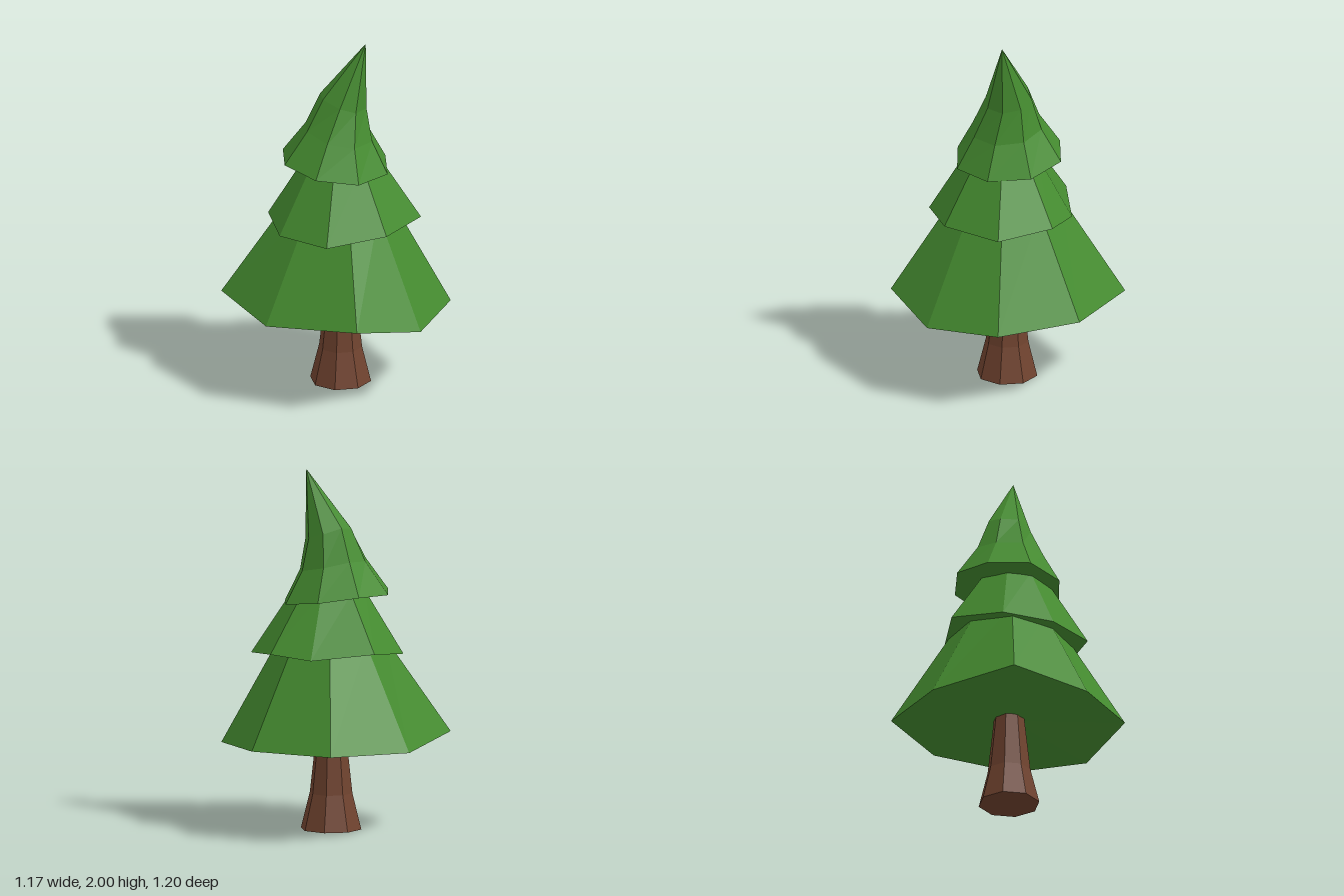
import * as THREE from 'three';

// Skin a stack of rings (each an array of [x, y, z]) and close the underside.
function skinRings(rings, baseY) {
  const pos = [];
  const n = rings[0].length;
  const centre = [0, baseY, 0];
  for (const p of rings[0]) {
    centre[0] += p[0] / n;
    centre[2] += p[2] / n;
  }
  for (let i = 0; i < n; i++) {
    const j = (i + 1) % n;
    pos.push(...centre, ...rings[0][i], ...rings[0][j]);
    for (let k = 0; k < rings.length - 1; k++) {
      const a = rings[k][i], b = rings[k][j];
      const c = rings[k + 1][i], d = rings[k + 1][j];
      pos.push(...a, ...c, ...b);
      if (c !== d) pos.push(...b, ...c, ...d);
    }
  }
  const geometry = new THREE.BufferGeometry();
  geometry.setAttribute('position', new THREE.Float32BufferAttribute(pos, 3));
  geometry.computeVertexNormals();
  return geometry;
}

function part(name, geometry, color) {
  const material = new THREE.MeshStandardMaterial({ color, flatShading: true });
  const mesh = new THREE.Mesh(geometry, material);
  mesh.name = name;
  return mesh;
}

// Shrink a ring towards the axis, raising it to a level with a little tilt.
const shrink = (ring, s, y, dx = 0) => ring.map((p) => [p[0] * s + dx, y, p[2] * s]);

export function createModel() {
  const tree = new THREE.Group();
  tree.name = 'pineTree';
  const green = 0x458c30, brown = 0x70432f;

  // Trunk: eight sides, flared at the foot
  const trunkRings = [[0, 0.17], [0.2, 0.12], [0.56, 0.08]].map(([y, r]) =>
    Array.from({ length: 8 }, (_, i) => {
      const a = (37 + 45 * i) * Math.PI / 180;
      return [0.021 + r * Math.cos(a), y, -0.01 + r * Math.sin(a)];
    }));
  tree.add(part('trunk', skinRings(trunkRings, 0), brown));

  // Lower branches: wide, uneven skirt
  const lower = [
    [0.29, 0.5, -0.6], [0.585, 0.495, -0.2], [0.555, 0.475, 0.275], [0.23, 0.45, 0.56],
    [-0.18, 0.53, 0.6], [-0.54, 0.49, 0.2], [-0.585, 0.54, -0.265], [-0.195, 0.49, -0.575],
  ];
  tree.add(part('lowerBranches', skinRings([lower, shrink(lower, 0.46, 1.06, 0.015)], 0.51), green));

  // Middle branches
  const middle = [
    [-0.065, 1.02, -0.4], [0.27, 0.99, -0.29], [0.43, 1.01, -0.105], [0.405, 0.975, 0.21],
    [0.1, 0.98, 0.4], [-0.24, 0.95, 0.345], [-0.39, 0.95, 0.065], [-0.325, 0.98, -0.21],
  ];
  tree.add(part('middleBranches', skinRings([middle, shrink(middle, 0.47, 1.33, 0.01)], 1.0), green));

  // Top branches: two bends, drawn out to a leaning tip
  const top = [
    [0, 1.33, -0.335], [0.21, 1.3, -0.25], [0.305, 1.27, -0.03], [0.21, 1.255, 0.19],
    [-0.01, 1.26, 0.277], [-0.225, 1.29, 0.18], [-0.31, 1.32, -0.035], [-0.215, 1.32, -0.25],
  ];
  const bendXZ = [
    [[0, -0.21], [0.137, -0.165], [0.205, -0.03], [0.15, 0.12],
      [0.01, 0.185], [-0.13, 0.13], [-0.18, -0.02], [-0.12, -0.155]],
    [[0.015, -0.135], [0.117, -0.115], [0.165, -0.03], [0.14, 0.07],
      [0.05, 0.12], [-0.035, 0.095], [-0.09, -0.005], [-0.06, -0.1]],
  ];
  const bends = bendXZ.map((ring, k) =>
    ring.map(([x, z], i) => [x, top[i][1] + [0.18, 0.36][k], z]));
  const tip = [0.135, 2, 0.07];
  tree.add(part('topBranches', skinRings([top, ...bends, Array(8).fill(tip)], 1.3), green));

  return tree;
}
